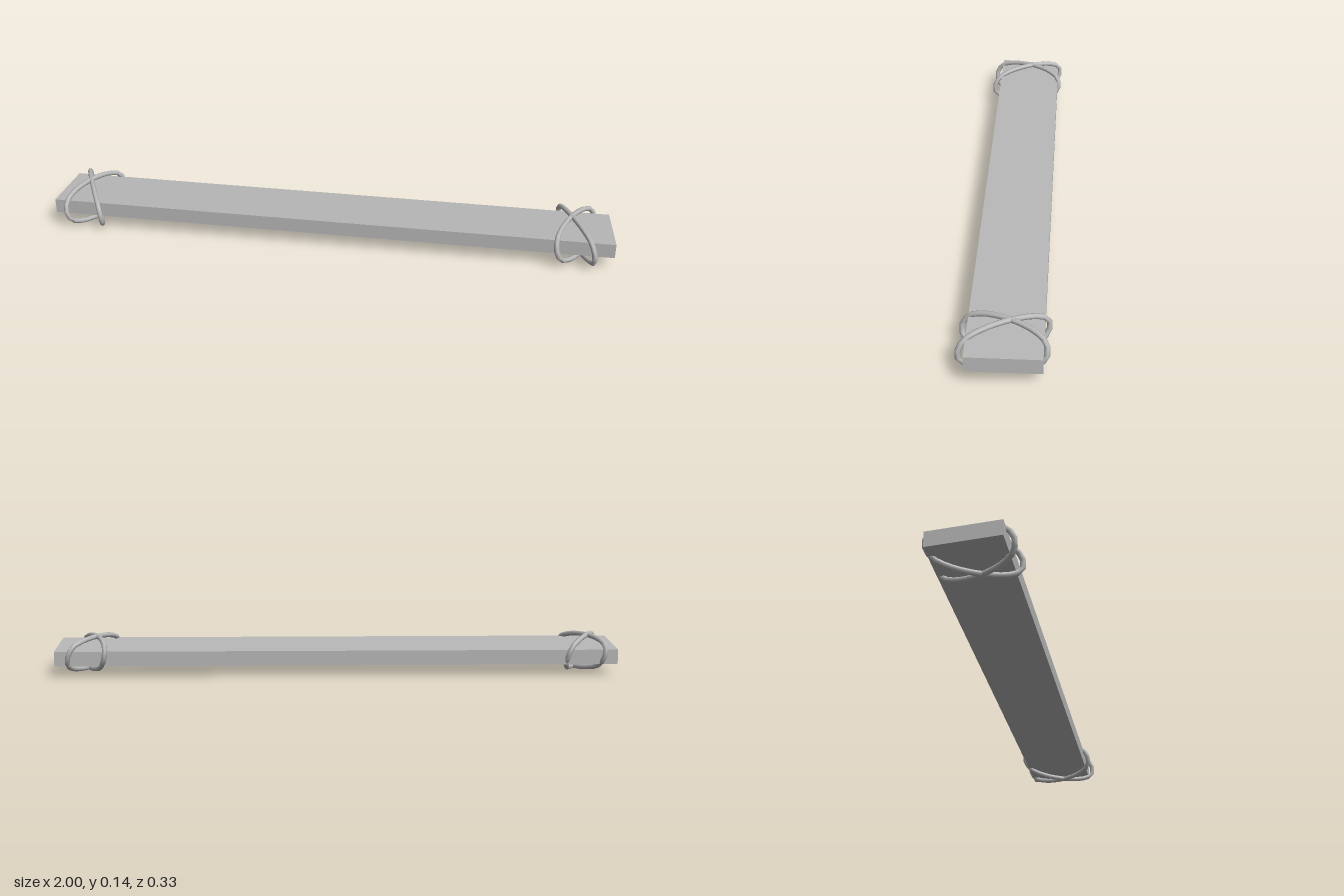
import * as THREE from 'three';

const grey = new THREE.MeshStandardMaterial({ color: 0xb8b8b8 });
grey.name = 'weathered grey';

// Long plank, slightly skewed and tilted; box corners are moved into place
function makePlank() {
  const geo = new THREE.BoxGeometry(2, 1, 1);
  const p = geo.attributes.position;
  for (let i = 0; i < p.count; i++) {
    const right = p.getX(i) > 0, front = p.getZ(i) > 0, top = p.getY(i) > 0;
    const x = right ? (front ? 1 : 0.98) : -1;
    const z = right ? (front ? 0.083 : -0.15) : (front ? 0.135 : -0.1);
    const y = (front ? 0.05 : 0.037) + (top ? 0.052 : 0) + (right ? 0 : 0.002);
    p.setXYZ(i, x, y, z);
  }
  geo.computeVertexNormals();
  const mesh = new THREE.Mesh(geo, grey);
  mesh.name = 'plank';
  return mesh;
}

// Closed rope loop around the plank, running diagonally (dir = 1 or -1)
function makeLoop(cx, cz, dir) {
  const pts = [];
  const n = 14;
  for (let i = 0; i < n; i++) {
    const a = (i / n) * Math.PI * 2;
    const c = Math.cos(a), s = Math.sin(a);
    const lift = Math.sign(s) * Math.pow(Math.abs(s), 0.7);
    pts.push(new THREE.Vector3(
      cx + dir * 0.064 * c - 0.02 * s,
      0.0685 + 0.0595 * lift,
      cz + 0.133 * c - 0.02 * s));
  }
  const path = new THREE.CatmullRomCurve3(pts, true);
  return new THREE.Mesh(new THREE.TubeGeometry(path, 28, 0.009, 8, true), grey);
}

export function createModel() {
  const model = new THREE.Group();
  model.name = 'lashedPlank';
  model.add(makePlank());

  // Crossed rope lashing at each end
  for (const [side, cx, cz] of [['right', -0.888, 0.024], ['left', 0.867, -0.026]]) {
    const lashing = new THREE.Group();
    lashing.name = side + 'Lashing';
    for (const dir of [1, -1]) {
      const loop = makeLoop(cx, cz, dir);
      loop.name = dir > 0 ? 'ropeLoop' : 'crossingRopeLoop';
      lashing.add(loop);
    }
    model.add(lashing);
  }
  return model;
}
